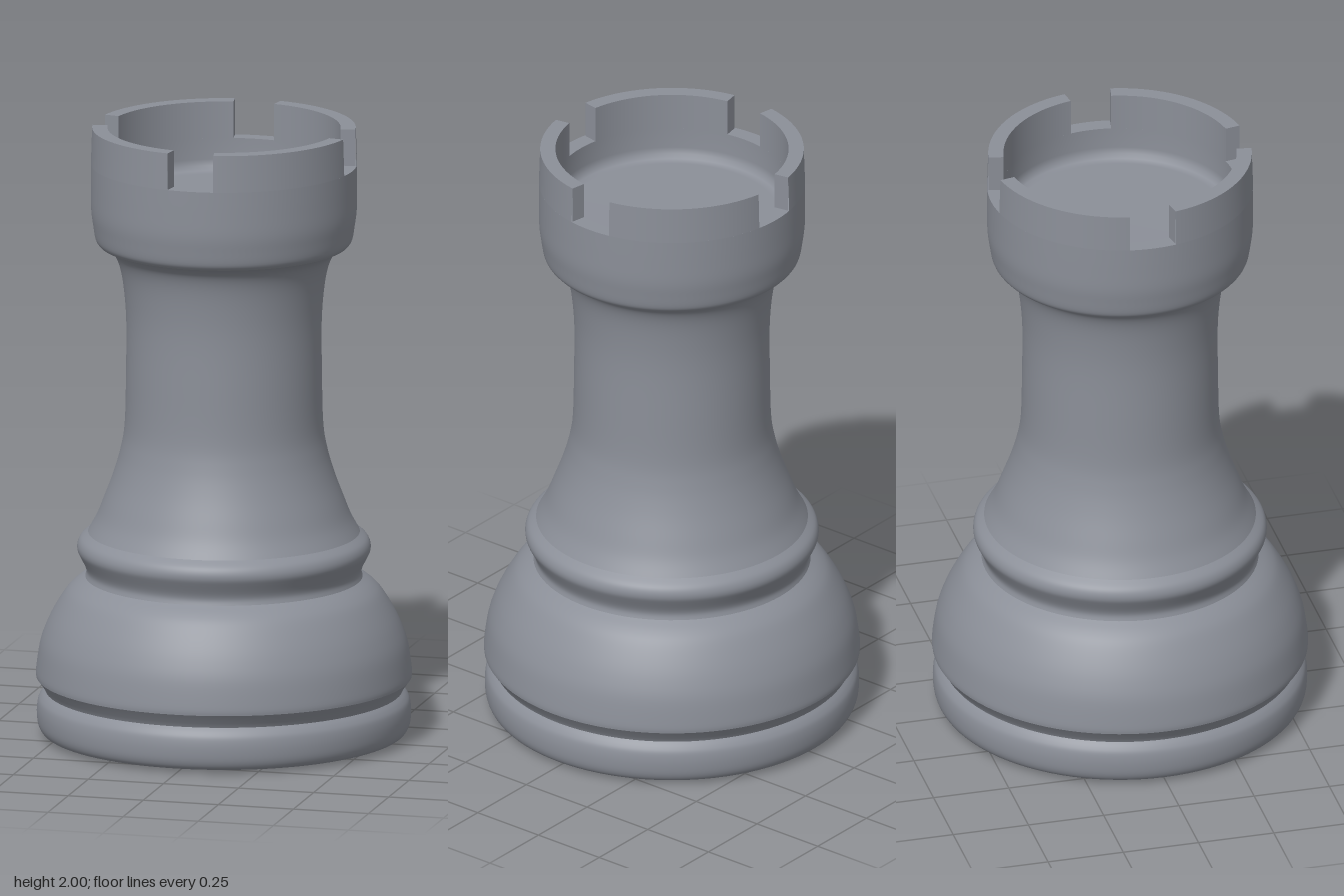
import * as THREE from 'three';

const SEGMENTS = 96;
const NOTCH_TOP = 1.88, RIM_TOP = 2.0, R_OUT = 0.428, R_IN = 0.375;
const NOTCH_HALF = 0.18; // half angle of each notch

export function createModel() {
  const stone = new THREE.MeshStandardMaterial({ color: 0x8b8f98 });
  stone.name = 'slate grey';
  const root = new THREE.Group();
  root.name = 'rook';

  const add = (parent, name, geometry) => {
    const mesh = new THREE.Mesh(geometry, stone);
    mesh.name = name;
    parent.add(mesh);
    return mesh;
  };

  // Turned section; profile runs [radius, height], optionally smoothed by a spline
  const turn = (parent, name, profile, smooth = 0, start = 0, sweep = Math.PI * 2) => {
    let pts = profile.map(([r, y]) => new THREE.Vector2(r, y));
    if (smooth) pts = new THREE.SplineCurve(pts).getPoints(smooth);
    const segs = Math.max(8, Math.round((SEGMENTS * sweep) / (Math.PI * 2)));
    return add(parent, name, new THREE.LatheGeometry(pts, segs, start, sweep));
  };

  // Foot and its rounded band
  turn(root, 'underside', [[0, 0], [0.37, 0], [0.555, 0.008]]);
  turn(root, 'footBand', [[0.555, 0.008], [0.583, 0.015], [0.598, 0.04], [0.602, 0.08],
    [0.598, 0.115], [0.588, 0.135], [0.575, 0.15]], 28);
  turn(root, 'footGroove', [[0.575, 0.15], [0.582, 0.165], [0.604, 0.195]]);

  // Domed base
  turn(root, 'domedBase', [[0.604, 0.195], [0.604, 0.22], [0.592, 0.3], [0.572, 0.36],
    [0.545, 0.415], [0.51, 0.47], [0.48, 0.5], [0.446, 0.523]], 32);

  // Collar ring above the dome
  turn(root, 'collarGroove', [[0.446, 0.523], [0.442, 0.54], [0.447, 0.56], [0.462, 0.59]], 10);
  turn(root, 'collar', [[0.462, 0.59], [0.471, 0.61], [0.471, 0.63], [0.461, 0.65], [0.437, 0.67]], 18);

  // Flared shaft
  turn(root, 'shaft', [[0.437, 0.67], [0.41, 0.72], [0.386, 0.78], [0.356, 0.86], [0.333, 0.94],
    [0.319, 1.03], [0.315, 1.2], [0.314, 1.35], [0.32, 1.45], [0.332, 1.53], [0.35, 1.58],
    [0.375, 1.605], [0.4, 1.617]], 56);

  // Crown: outer wall, floor inside, and inner wall with a soft corner
  turn(root, 'crownWall', [[0.4, 1.617], [0.413, 1.635], [0.421, 1.68], [0.427, 1.73],
    [R_OUT, 1.8], [R_OUT, NOTCH_TOP]], 24);
  turn(root, 'crownLedge', [[R_OUT, NOTCH_TOP], [R_IN, NOTCH_TOP]]);
  turn(root, 'crownInside', [[R_IN, NOTCH_TOP], [R_IN, 1.81], [0.371, 1.79], [0.36, 1.776],
    [0.34, 1.77], [0, 1.77]]);

  // Four battlements between the notches
  const sweep = Math.PI / 2 - 2 * NOTCH_HALF;
  const height = RIM_TOP - NOTCH_TOP;
  for (let i = 0; i < 4; i++) {
    const block = new THREE.Group();
    block.name = 'battlement' + (i + 1);
    const start = (i * Math.PI) / 2 + NOTCH_HALF;
    turn(block, 'outerFace', [[R_OUT, NOTCH_TOP], [0.424, RIM_TOP]], 0, start, sweep);
    turn(block, 'topFace', [[0.424, RIM_TOP], [R_IN, RIM_TOP]], 0, start, sweep);
    turn(block, 'innerFace', [[R_IN, RIM_TOP], [R_IN, NOTCH_TOP]], 0, start, sweep);
    for (const side of [-1, 1]) {
      const cap = new THREE.PlaneGeometry(0.424 - R_IN, height);
      cap.rotateY((side * Math.PI) / 2);
      cap.translate(0, NOTCH_TOP + height / 2, (0.424 + R_IN) / 2);
      cap.rotateY(side < 0 ? start : start + sweep);
      add(block, 'notchSide', cap);
    }
    root.add(block);
  }
  return root;
}
